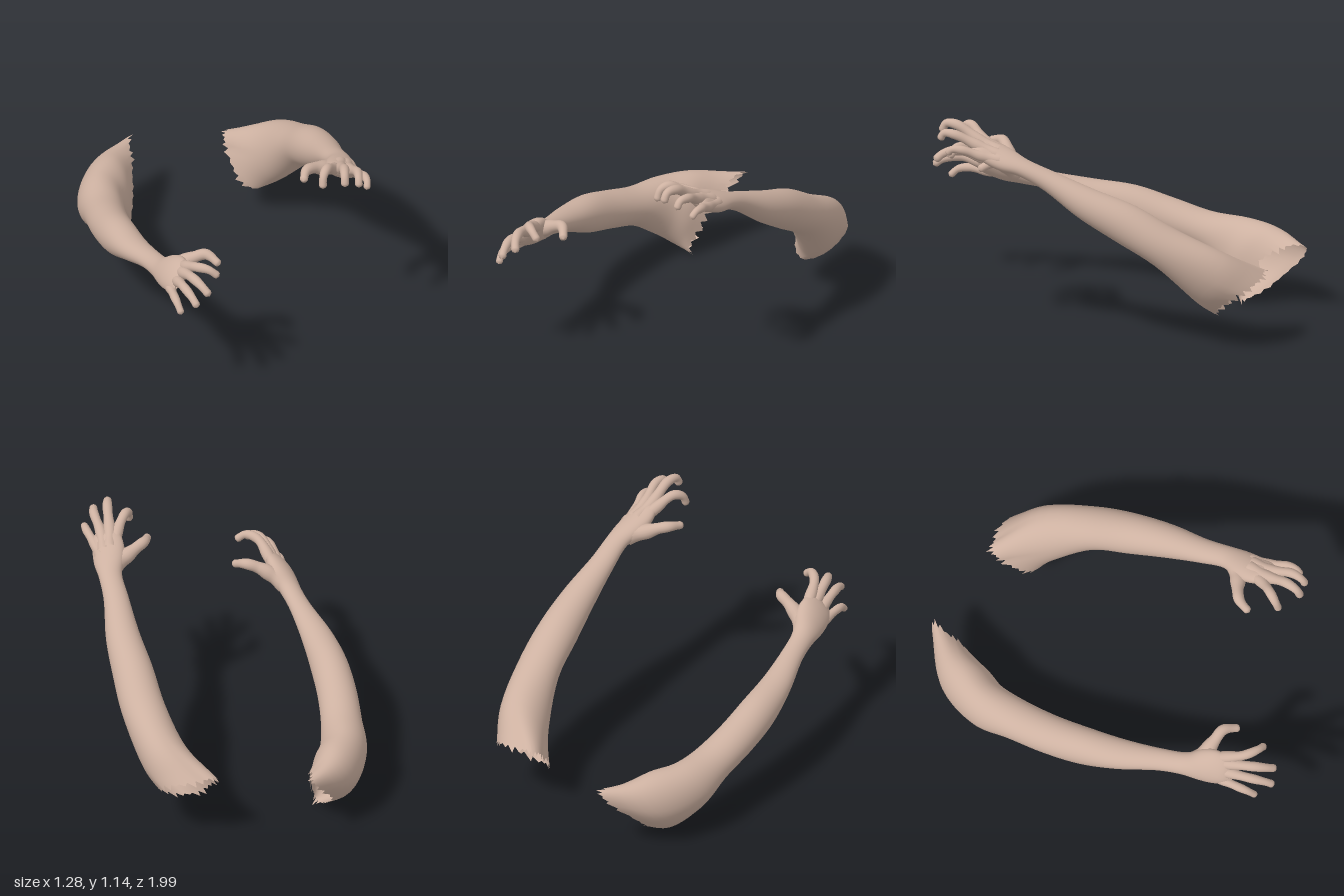
import * as THREE from 'three';

const V = (p) => new THREE.Vector3(...p);
const skin = new THREE.MeshStandardMaterial({ color: 0xcdb1a1, roughness: 0.8, side: THREE.DoubleSide });

// Skin a list of closed rings (arrays of Vector3) into one smooth surface
function loft(rings) {
  const n = rings[0].length, index = [];
  for (let j = 0; j < rings.length - 1; j++) {
    for (let i = 0; i < n; i++) {
      const a = j * n + i, b = j * n + (i + 1) % n;
      index.push(a, b, a + n, b, b + n, a + n);
    }
  }
  const g = new THREE.BufferGeometry().setFromPoints(rings.flat());
  g.setIndex(index);
  g.computeVertexNormals();
  return g;
}

// Four extreme points (+x, top, -x, bottom) of a tilted, rolled ellipse
function section([x, y, z, side, up, roll = 0], tilt) {
  const u0 = V([0, Math.cos(tilt), -Math.sin(tilt)]), x0 = V([1, 0, 0]);
  const s = x0.clone().multiplyScalar(Math.cos(roll)).addScaledVector(u0, Math.sin(roll));
  const u = u0.clone().multiplyScalar(Math.cos(roll)).addScaledVector(x0, -Math.sin(roll));
  const c = V([x, y, z]);
  return [[s, side], [u, up], [s, -side], [u, -up]].map(([d, r]) => c.clone().addScaledVector(d, r));
}

// Smooth ring through four extreme points
function ringFrom(pts, cols) {
  const c = new THREE.Vector3();
  pts.forEach((p) => c.addScaledVector(p, 0.25));
  return Array.from({ length: cols }, (_, i) => {
    const a = (i / cols) * Math.PI * 2, cs = Math.cos(a), sn = Math.sin(a);
    return c.clone()
      .addScaledVector(pts[cs >= 0 ? 0 : 2].clone().sub(c), Math.abs(cs))
      .addScaledVector(pts[sn >= 0 ? 1 : 3].clone().sub(c), Math.abs(sn));
  });
}

// Arm from the torn shoulder rim down to the knuckles
function armGeometry({ tilt, notch, shoulder, sections }) {
  const cols = 48, steps = 5;
  const keys = [...shoulder.map((q) => q.map(V)), ...sections.map((s) => section(s, tilt))]
    .map((q) => ringFrom(q, cols));
  const rows = (keys.length - 1) * steps;
  const curves = Array.from({ length: cols }, (_, i) => new THREE.CatmullRomCurve3(keys.map((k) => k[i])));
  // the rim is cut back on one side
  const start = curves.map((_, i) => notch.depth * Math.max(0, Math.cos((i / cols) * Math.PI * 2 - notch.angle)) ** 2);
  const rings = Array.from({ length: rows + 1 }, (_, j) =>
    curves.map((c, i) => c.getPoint(start[i] + (1 - start[i]) * (j / rows))));
  // jagged teeth along the rim
  rings[0].forEach((p, i) => {
    const out = p.clone().sub(rings[1][i]).normalize();
    p.addScaledVector(out, i % 2 ? 0.026 + 0.016 * Math.sin(i * 2.3) : 0);
  });
  return loft(rings);
}

// Tapered finger with bony joints and a rounded tip
function fingerGeometry(path, r0, r1) {
  const curve = new THREE.CatmullRomCurve3(path.map(V));
  const rows = 40, cols = 16, len = curve.getLength();
  const { normals, binormals } = curve.computeFrenetFrames(rows, false);
  return loft(Array.from({ length: rows + 1 }, (_, j) => {
    const t = j / rows, c = curve.getPointAt(t);
    const left = Math.min(1, ((1 - t) * len) / r1);
    const r = (r1 + (r0 - r1) * (1 - t) ** 1.4) * (1 + 0.06 * Math.cos(t * 18)) * Math.sqrt(1 - (1 - left) ** 2);
    return Array.from({ length: cols }, (_, i) => {
      const a = (i / cols) * Math.PI * 2;
      return c.clone().addScaledVector(normals[j], Math.cos(a) * r).addScaledVector(binormals[j], Math.sin(a) * r);
    });
  }));
}

// Base and tip radius of each finger
const RADII = {
  thumb: [0.05, 0.021], indexFinger: [0.036, 0.02], middleFinger: [0.036, 0.021],
  ringFinger: [0.034, 0.02], littleFinger: [0.032, 0.018],
};

const ARMS = {
  leftArm: {
    tilt: 0.5,
    notch: { angle: Math.PI * 1.8, depth: 0.03 },
    // rings as +x, top, -x, bottom
    shoulder: [
      [[0.52, 0.32, -0.80], [0.32, 0.395, -0.87], [0.25, 0.34, -0.79], [0.35, 0.17, -0.635]],
      [[0.58, 0.40, -0.67], [0.46, 0.53, -0.70], [0.34, 0.40, -0.61], [0.45, 0.255, -0.56]],
    ],
    // x, y, z, half width, half height, roll
    sections: [
      [0.52, 0.565, -0.4, 0.112, 0.107], [0.53, 0.68, -0.2, 0.104, 0.104],
      [0.535, 0.775, 0, 0.087, 0.083], [0.522, 0.88, 0.2, 0.064, 0.053],
      [0.52, 0.938, 0.33, 0.06, 0.045, -0.1], [0.503, 0.967, 0.42, 0.08, 0.052, -0.25],
      [0.492, 1.0, 0.5, 0.083, 0.046, -0.35], [0.492, 1.03, 0.56, 0.074, 0.034, -0.38],
      [0.492, 1.04, 0.595, 0.045, 0.012, -0.38],
    ],
    fingers: {
      thumb: [[0.49, 0.955, 0.39], [0.42, 0.975, 0.43], [0.35, 1.005, 0.46], [0.305, 1.015, 0.49], [0.27, 1.0, 0.56]],
      indexFinger: [[0.47, 1.0, 0.46], [0.43, 1.05, 0.56], [0.375, 1.105, 0.63], [0.345, 1.09, 0.67], [0.335, 1.03, 0.695]],
      middleFinger: [[0.49, 1.01, 0.47], [0.465, 1.06, 0.58], [0.45, 1.125, 0.69], [0.435, 1.125, 0.75], [0.43, 1.075, 0.775]],
      ringFinger: [[0.52, 1.0, 0.47], [0.51, 1.045, 0.58], [0.52, 1.095, 0.69], [0.51, 1.095, 0.745], [0.505, 1.055, 0.77]],
      littleFinger: [[0.54, 0.98, 0.45], [0.55, 1.0, 0.55], [0.57, 1.03, 0.64], [0.57, 1.03, 0.69], [0.56, 1.0, 0.72]],
    },
  },
  rightArm: {
    tilt: 0.27,
    notch: { angle: Math.PI * 1.25, depth: 0.04 },
    shoulder: [
      [[-0.29, 0.2, -0.67], [-0.25, 0.365, -0.87], [-0.24, 0.30, -0.97], [-0.33, 0.035, -0.655]],
      [[-0.32, 0.25, -0.61], [-0.38, 0.42, -0.77], [-0.48, 0.24, -0.82], [-0.41, 0.065, -0.62]],
      [[-0.37, 0.29, -0.53], [-0.48, 0.43, -0.62], [-0.60, 0.27, -0.60], [-0.47, 0.14, -0.53]],
    ],
    sections: [
      [-0.515, 0.34, -0.4, 0.107, 0.102], [-0.54, 0.395, -0.2, 0.101, 0.098],
      [-0.545, 0.45, 0, 0.095, 0.098], [-0.53, 0.505, 0.2, 0.08, 0.066],
      [-0.495, 0.56, 0.4, 0.058, 0.046, 0.2], [-0.473, 0.59, 0.53, 0.06, 0.048, 0.6],
      [-0.455, 0.622, 0.61, 0.088, 0.054, 0.88], [-0.447, 0.645, 0.68, 0.095, 0.048, 0.92],
      [-0.442, 0.655, 0.74, 0.08, 0.034, 0.92], [-0.44, 0.66, 0.775, 0.05, 0.012, 0.92],
    ],
    fingers: {
      thumb: [[-0.45, 0.615, 0.575], [-0.39, 0.655, 0.61], [-0.33, 0.69, 0.63], [-0.27, 0.71, 0.65], [-0.215, 0.68, 0.72]],
      indexFinger: [[-0.42, 0.66, 0.63], [-0.4, 0.7, 0.71], [-0.365, 0.752, 0.81], [-0.315, 0.757, 0.86], [-0.265, 0.72, 0.88]],
      middleFinger: [[-0.44, 0.64, 0.64], [-0.42, 0.68, 0.73], [-0.4, 0.72, 0.85], [-0.37, 0.71, 0.93], [-0.34, 0.675, 0.975]],
      ringFinger: [[-0.455, 0.62, 0.64], [-0.45, 0.64, 0.73], [-0.445, 0.675, 0.86], [-0.425, 0.66, 0.95], [-0.41, 0.63, 0.995]],
      littleFinger: [[-0.475, 0.59, 0.63], [-0.48, 0.595, 0.72], [-0.487, 0.605, 0.82], [-0.485, 0.595, 0.88], [-0.475, 0.555, 0.925]],
    },
  },
};

export function createModel() {
  const model = new THREE.Group();
  model.name = 'reachingArms';
  const add = (parent, name, geometry) => {
    const mesh = new THREE.Mesh(geometry, skin);
    mesh.name = name;
    parent.add(mesh);
  };
  for (const [name, arm] of Object.entries(ARMS)) {
    const group = new THREE.Group();
    group.name = name;
    add(group, 'armAndPalm', armGeometry(arm));
    for (const [finger, path] of Object.entries(arm.fingers)) {
      add(group, finger, fingerGeometry(path, ...RADII[finger]));
    }
    model.add(group);
  }
  return model;
}
